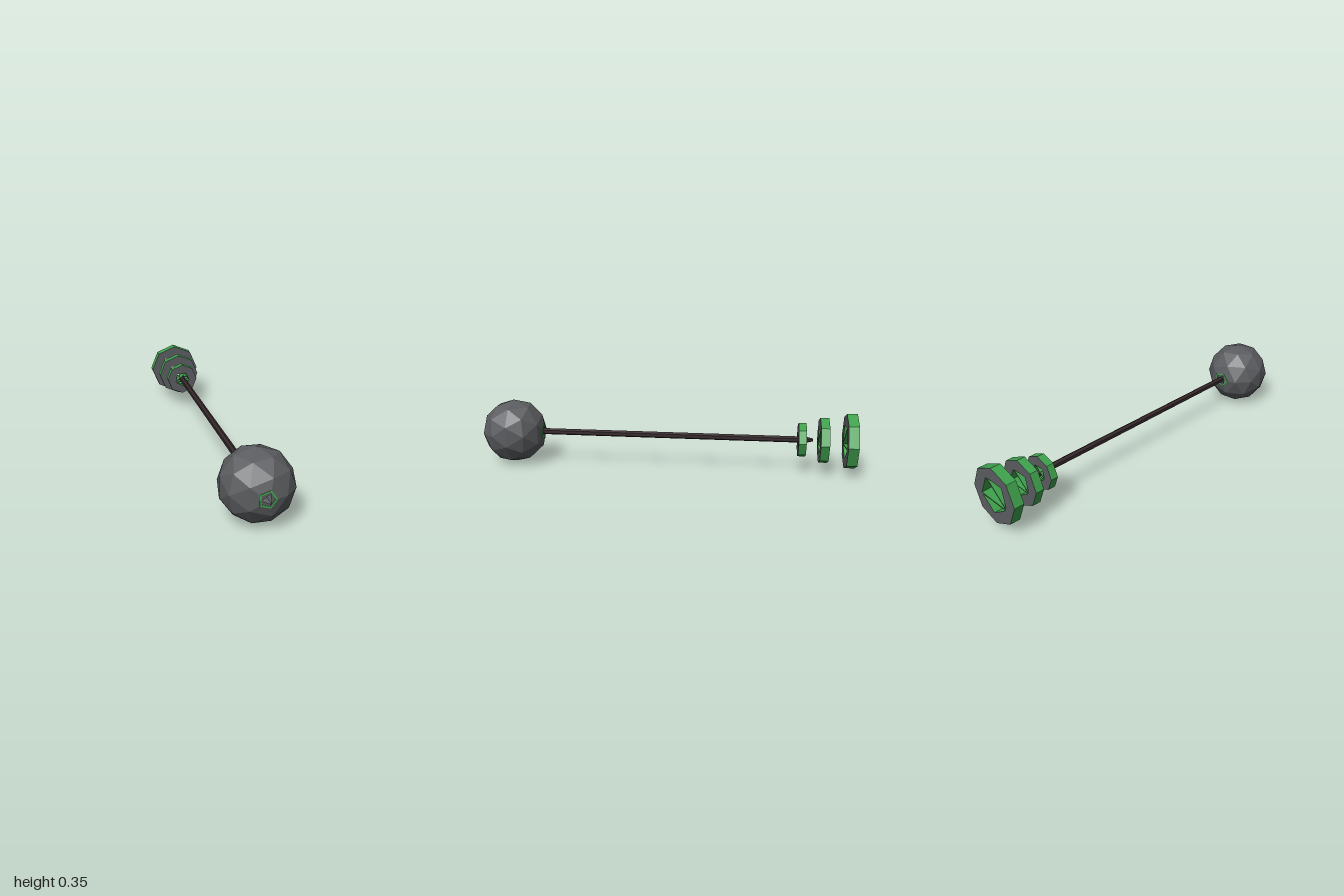
import * as THREE from 'three';
import { ConvexGeometry } from 'three/addons/geometries/ConvexGeometry.js';

const AXIS_Y = 0.174;

// Corners of a regular polygon in the xy plane
function polygon(sides, radius, startDeg, scaleAbout) {
  return Array.from({ length: sides }, (_, i) => {
    const a = THREE.MathUtils.degToRad(startDeg + (360 / sides) * i);
    return new THREE.Vector2(radius * Math.cos(a), radius * Math.sin(a));
  });
}

// Pull the corners of an opening towards its middle, leaving thin bars between openings
function inset(points, factor) {
  const c = points.reduce((s, p) => s.add(p), new THREE.Vector2()).divideScalar(points.length);
  return points.map((p) => p.clone().sub(c).multiplyScalar(factor).add(c));
}

// Faceted ball with a small five-sided opening at both ends of the z axis
function ballGeometry(radius, cut) {
  const corners = [];
  for (const s of [1, -1]) {
    corners.push(new THREE.Vector3(0, 0, s));
    for (const p of polygon(5, 2 / Math.sqrt(5), s > 0 ? 0 : 36)) {
      corners.push(new THREE.Vector3(p.x, p.y, s / Math.sqrt(5)));
    }
  }
  const isPole = (v) => Math.abs(v.z) > 0.99;
  const points = corners.filter((v) => !isPole(v));
  let capZ = 0;
  corners.forEach((a, i) => corners.slice(i + 1).forEach((b) => {
    if (a.dot(b) < 0.4) return;
    const mid = a.clone().add(b).normalize();
    points.push(mid);
    const pole = [a, b].find(isPole);
    if (pole) {
      const rim = pole.clone().lerp(mid, cut);
      capZ = Math.abs(rim.z);
      points.push(rim);
    }
  }));
  const hull = new ConvexGeometry(points);
  const src = hull.attributes.position;
  const kept = [];
  for (let i = 0; i < src.count; i += 3) {
    const tri = [0, 1, 2].map((k) => new THREE.Vector3().fromBufferAttribute(src, i + k));
    if (tri.every((v) => Math.abs(v.z) > capZ - 1e-4)) continue;
    tri.forEach((v) => kept.push(v.x * radius, v.y * radius, v.z * radius));
  }
  const geo = new THREE.BufferGeometry();
  geo.setAttribute('position', new THREE.Float32BufferAttribute(kept, 3));
  geo.computeVertexNormals();
  return geo;
}

export function createModel() {
  const grey = new THREE.MeshStandardMaterial({ color: 0x5a5c5f });
  const green = new THREE.MeshStandardMaterial({ color: 0x3fa24d });
  const brown = new THREE.MeshStandardMaterial({ color: 0x35282b });
  for (const [m, name] of [[grey, 'stone grey'], [green, 'green'], [brown, 'dark brown']]) {
    m.name = name;
    m.flatShading = true;
  }
  const greyInside = grey.clone();
  greyInside.side = THREE.DoubleSide;

  const model = new THREE.Group();
  model.name = 'weightedStaff';
  const add = (parent, name, geo, mat, x = 0, y = 0, z = 0) => {
    const mesh = new THREE.Mesh(geo, mat);
    mesh.name = name;
    mesh.position.set(x, y, z);
    parent.add(mesh);
    return mesh;
  };

  // Ball at the front end
  const ball = new THREE.Group();
  ball.name = 'ball';
  ball.position.set(0, AXIS_Y, 0.837);
  model.add(ball);
  add(ball, 'ballShell', ballGeometry(0.1735, 0.42), grey);

  // Five-sided collars round the two openings, with a hollow behind each
  for (const side of [1, -1]) {
    const end = new THREE.Group();
    end.name = side > 0 ? 'frontCollar' : 'backCollar';
    if (side < 0) end.rotation.y = Math.PI;
    ball.add(end);
    const shape = new THREE.Shape(polygon(5, 0.044, 0));
    shape.holes.push(new THREE.Path(polygon(5, 0.034, 0)));
    add(end, 'collarRing', new THREE.ExtrudeGeometry(shape, { depth: 0.008, bevelEnabled: false }),
      green, 0, 0, 0.155);
    const plate = new THREE.Shape(polygon(5, 0.036, 0));
    plate.holes.push(new THREE.Path(polygon(3, 0.028, 65)));
    add(end, 'collarPlate', new THREE.ShapeGeometry(plate), greyInside, 0, 0, 0.161);
    const hollow = new THREE.ConeGeometry(0.04, 0.09, 5, 1, true);
    hollow.rotateX(-Math.PI / 2);
    add(end, 'collarHollow', hollow, greyInside, 0, 0, 0.115);
  }

  // Shaft with a tapered back tip
  const shaft = new THREE.CylinderGeometry(0.017, 0.017, 1.42, 6);
  shaft.rotateX(Math.PI / 2);
  add(model, 'shaft', shaft, brown, 0, AXIS_Y + 0.001, -0.03);
  const tip = new THREE.CylinderGeometry(0.017, 0.008, 0.04, 6);
  tip.rotateX(Math.PI / 2);
  add(model, 'shaftTip', tip, brown, 0, AXIS_Y + 0.001, -0.76);

  // Three eight-sided rings growing towards the back: grey faces, green rims.
  // Each has a five-sided opening split by two thin bars.
  const rings = [
    ['smallRing', 0.091, 0.048, -0.742, 0.04],
    ['middleRing', 0.122, 0.075, -0.857, 0.045],
    ['largeRing', 0.147, 0.1, -1, 0.054],
  ];
  for (const [name, radius, holeRadius, z, depth] of rings) {
    const shape = new THREE.Shape(polygon(8, radius, 90));
    const v = polygon(5, holeRadius, 60);
    shape.holes.push(new THREE.Path(inset([v[0], v[2], v[4]], 0.92)));
    shape.holes.push(new THREE.Path(inset([v[0], v[1], v[2]], 0.88)));
    shape.holes.push(new THREE.Path(inset([v[2], v[3], v[4]], 0.88)));
    add(model, name, new THREE.ExtrudeGeometry(shape, { depth, bevelEnabled: false }),
      [grey, green], 0, AXIS_Y, z);
  }
  return model;
}
